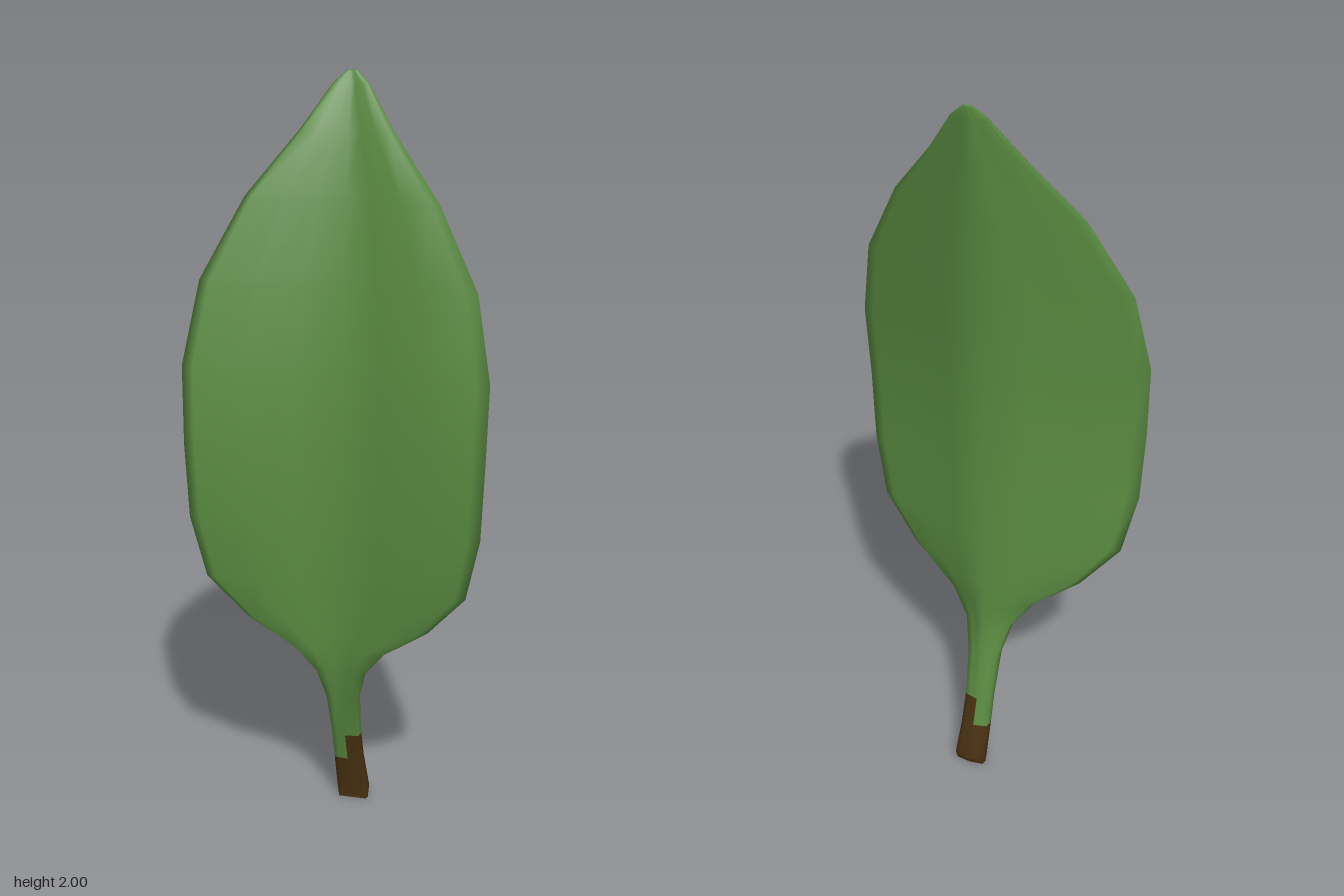
import * as THREE from 'three';

const leafGreen = new THREE.MeshStandardMaterial({ color: 0x5a8b41 });
leafGreen.name = 'leafGreen';
const stemBrown = new THREE.MeshStandardMaterial({ color: 0x4a3212 });
stemBrown.name = 'stemBrown';

// Sections from stem base to tip:
// y, half width, centre x, rib back z, rib front z, edge back z, edge front z
const SECTIONS = [
  [0, 0.042, 0.013, -0.115, -0.085, -0.11, -0.085],
  [0.03, 0.045, 0.012, -0.132, -0.08, -0.12, -0.085],
  [0.14, 0.041, 0.005, -0.105, -0.055, -0.095, -0.06],
  [0.225, 0.04, 0.002, -0.085, -0.035, -0.075, -0.04],
  [0.36, 0.045, 0, -0.057, -0.005, -0.045, 0],
  [0.45, 0.068, 0, -0.046, 0.012, -0.005, 0.028],
  [0.52, 0.12, 0, -0.045, 0.02, 0.02, 0.05],
  [0.61, 0.24, 0, -0.045, 0.026, 0.05, 0.075],
  [0.73, 0.34, 0, -0.045, 0.03, 0.08, 0.105],
  [0.9, 0.375, 0, -0.045, 0.03, 0.1, 0.126],
  [1.1, 0.382, 0, -0.047, 0.025, 0.105, 0.13],
  [1.3, 0.385, 0, -0.055, 0.015, 0.09, 0.116],
  [1.51, 0.345, 0, -0.075, -0.01, 0.05, 0.077],
  [1.71, 0.24, 0, -0.097, -0.045, -0.005, 0.022],
  [1.86, 0.12, 0, -0.115, -0.08, -0.07, -0.045],
  [1.97, 0.045, 0, -0.126, -0.108, -0.118, -0.103],
  [2, 0.012, 0, -0.126, -0.118, -0.124, -0.117],
];

// Spread across the blade and the rise from rib to edge on each face
const SPREAD = [0, 0.28, 0.6, 0.92];
const FRONT_RISE = [0, 0.42, 0.76, 1];
const BACK_RISE = [0, 0.32, 0.66, 1];

// One closed loop: front left to right, right edge, back right to left, left edge
function sectionLoop([y, w, cx, ribB, ribF, edgeB, edgeF]) {
  const point = (u, z) => [cx + u * w, y, z + 0.014 * u * w];
  const loop = [];
  for (let k = -3; k <= 3; k++) {
    const a = Math.abs(k);
    loop.push(point(Math.sign(k) * SPREAD[a], ribF + (edgeF - ribF) * FRONT_RISE[a]));
  }
  loop.push(point(1, (edgeF + edgeB) / 2));
  for (let k = 3; k >= -3; k--) {
    const a = Math.abs(k);
    loop.push(point(Math.sign(k) * SPREAD[a], ribB + (edgeB - ribB) * BACK_RISE[a]));
  }
  loop.push(point(-1, (edgeF + edgeB) / 2));
  return loop;
}

function leafGeometry() {
  const loops = SECTIONS.map(sectionLoop);
  const n = loops[0].length;
  const last = loops.length - 1;
  const points = loops.flat();
  const green = [];
  const brown = [];

  for (let i = 0; i < last; i++) {
    for (let j = 0; j < n; j++) {
      const k = (j + 1) % n;
      const a = i * n + j, b = i * n + k, c = b + n, d = a + n;
      // The bark reaches one section higher on the left half of the stem
      const onLeft = j >= 3 && j < 11;
      const faces = i < 2 || (i === 2 && onLeft) ? brown : green;
      faces.push(a, b, c, a, c, d);
    }
  }

  // End caps: the cut stem has its own corners to stay crisp
  const addCap = (loop, faces, up) => {
    const start = points.length;
    points.push(...loop);
    for (let j = 1; j < n - 1; j++) {
      if (up) faces.push(start, start + j, start + j + 1);
      else faces.push(start, start + j + 1, start + j);
    }
  };
  addCap(loops[0], brown, false);
  addCap(loops[last], green, true);

  const geometry = new THREE.BufferGeometry();
  geometry.setAttribute('position', new THREE.Float32BufferAttribute(points.flat(), 3));
  geometry.setIndex([...green, ...brown]);
  geometry.addGroup(0, green.length, 0);
  geometry.addGroup(green.length, brown.length, 1);
  geometry.computeVertexNormals();
  return geometry;
}

export function createModel() {
  const model = new THREE.Group();
  model.name = 'leaf';
  const blade = new THREE.Mesh(leafGeometry(), [leafGreen, stemBrown]);
  blade.name = 'bladeAndStem';
  model.add(blade);
  return model;
}
